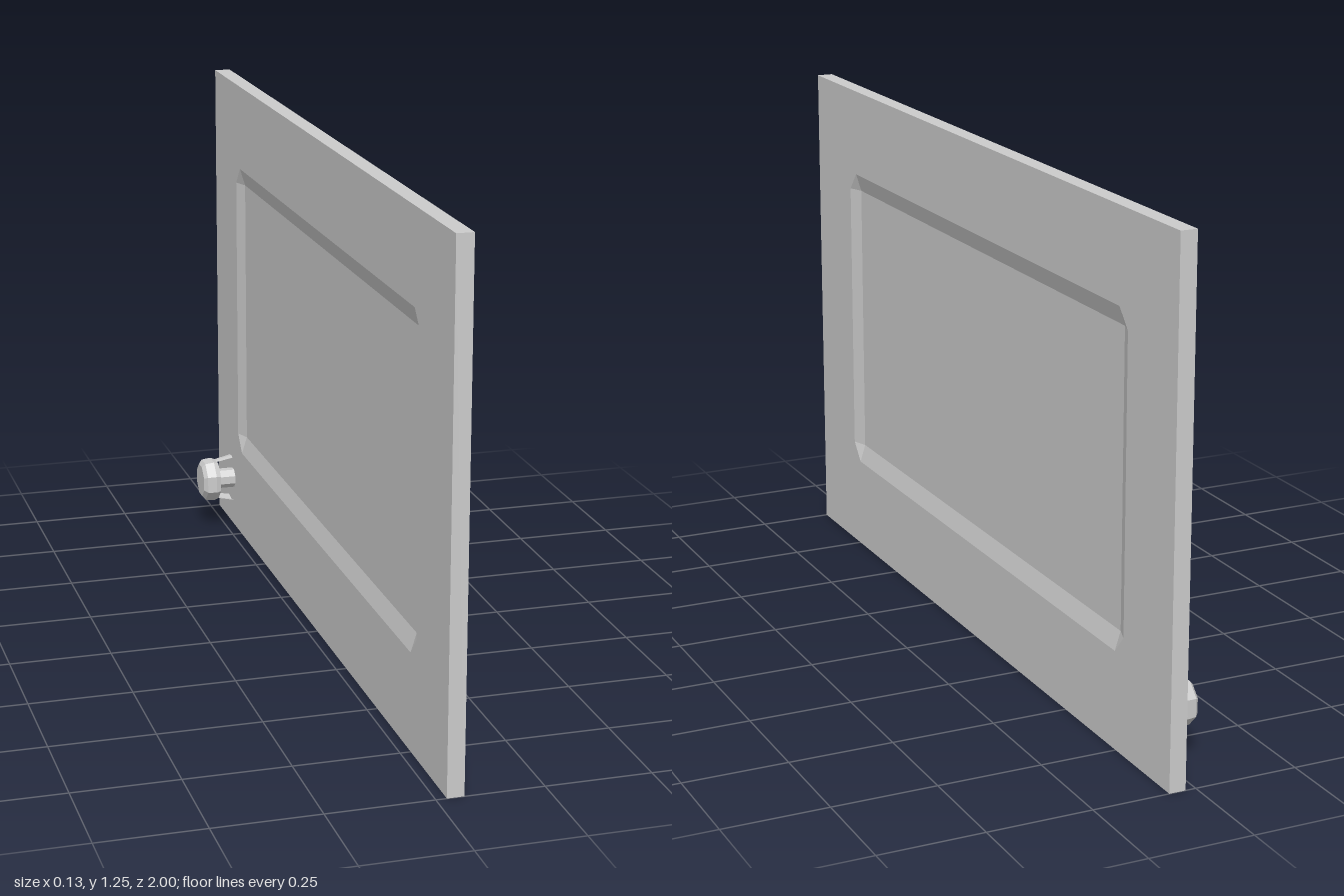
import * as THREE from 'three';

const W = 2, H = 1.245, T = 0.04, CX = 0.045; // panel width, height, thickness, centre x
const DEPTH = 0.014;                          // depth of the recessed field
const grey = new THREE.MeshStandardMaterial({ color: 0xcccccc, flatShading: true });
const thin = new THREE.MeshStandardMaterial({ color: 0xcccccc, flatShading: true, side: THREE.DoubleSide });

function mesh(name, geometry, material = grey) {
  const m = new THREE.Mesh(geometry, material);
  m.name = name;
  return m;
}

// Band of quads between two closed loops lying at two depths
function loft(a, za, b, zb) {
  const pos = [];
  a.forEach((p, i) => {
    const j = (i + 1) % a.length;
    const [a0, a1] = [[...p, za], [...a[j], za]];
    const [b0, b1] = [[...b[i], zb], [...b[j], zb]];
    pos.push(...a0, ...a1, ...b1, ...a0, ...b1, ...b0);
  });
  const g = new THREE.BufferGeometry();
  g.setAttribute('position', new THREE.Float32BufferAttribute(pos, 3));
  g.computeVertexNormals();
  return g;
}

const toVectors = (pts) => pts.map(([x, y]) => new THREE.Vector2(x, y));
const rect = (x, y0, y1) => [[-x, y0], [x, y0], [x, y1], [-x, y1]];

// One face of the panel: flat border, sloping walls and recessed field
function panelFace(name) {
  const g = new THREE.Group();
  g.name = name;
  const ix = 0.74, ox = 0.78, iy0 = 0.28, iy1 = 0.98, oy0 = 0.235, oy1 = 1.025;
  const outer = [[-ix, oy0], [ix, oy0], [ox, iy0], [ox, iy1], [ix, oy1], [-ix, oy1], [-ox, iy1], [-ox, iy0]];
  const inner = [[-ix, iy0], [ix, iy0], [ix, iy0], [ix, iy1], [ix, iy1], [-ix, iy1], [-ix, iy1], [-ix, iy0]];

  const border = new THREE.Shape(toVectors(rect(W / 2, 0, H)));
  border.holes.push(new THREE.Path(toVectors(outer)));
  const borderGeo = new THREE.ShapeGeometry(border).translate(0, 0, T / 2);
  const fieldGeo = new THREE.ShapeGeometry(new THREE.Shape(toVectors(rect(ix, iy0, iy1))));
  fieldGeo.translate(0, 0, T / 2 - DEPTH);
  g.add(mesh('border', borderGeo));
  g.add(mesh('recessWalls', loft(outer, T / 2, inner, T / 2 - DEPTH)));
  g.add(mesh('recessedField', fieldGeo));
  return g;
}

export function createModel() {
  const model = new THREE.Group();
  model.name = 'cabinetDoor';

  // Door panel, the same on both sides
  const panel = new THREE.Group();
  panel.name = 'panel';
  const near = panelFace('outerFace');
  const far = panelFace('innerFace');
  far.rotation.y = Math.PI;
  const edge = rect(W / 2, 0, H);
  panel.add(near, far, mesh('panelEdges', loft(edge, -T / 2, edge, T / 2)));
  panel.rotation.y = Math.PI / 2;
  panel.position.x = CX;
  model.add(panel);

  // Faceted knob near the lower back corner, turned around an axis along -x
  const knob = new THREE.Group();
  knob.name = 'knob';
  const profile = [[0.027, 0], [0.027, 0.045], [0.054, 0.047], [0.059, 0.06], [0.056, 0.084], [0.045, 0.093], [0, 0.093]];
  knob.add(mesh('knobHead', new THREE.LatheGeometry(toVectors(profile), 8, Math.PI / 8)));

  // Thin flared pieces between the head and the door, above and below the stem
  const flare = toVectors([[0.064, 0.005], [0.054, 0.05]]);
  for (const [name, angle, arc] of [['upperFlare', Math.PI / 2, 0.5], ['lowerFlare', -Math.PI / 2, 0.9]]) {
    knob.add(mesh(name, new THREE.LatheGeometry(flare, 2, angle - arc / 2, arc), thin));
  }
  knob.rotation.z = Math.PI / 2;
  knob.position.set(CX - T / 2, 0.135, -0.84);
  model.add(knob);

  return model;
}
